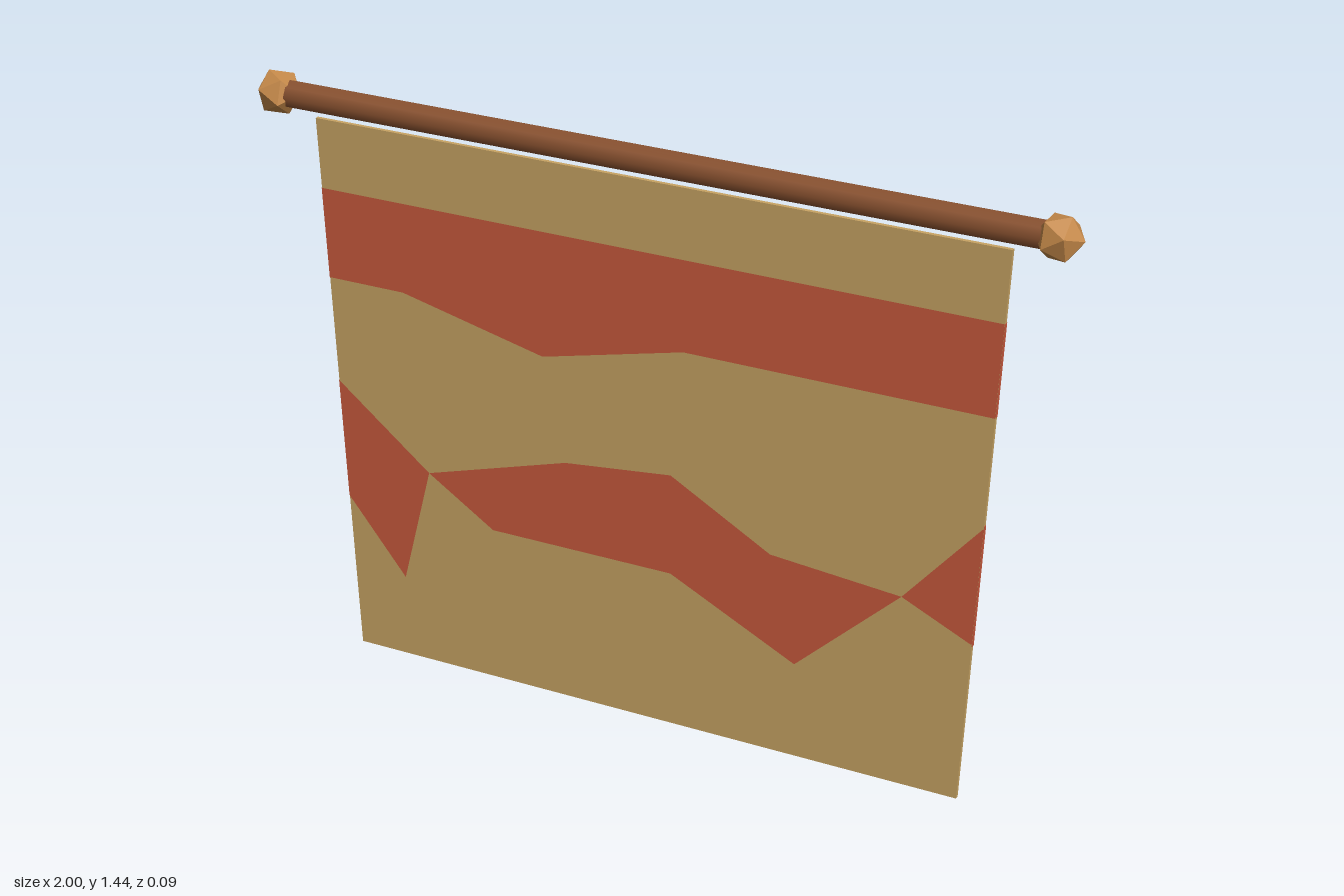
import * as THREE from 'three';

const clothMat = new THREE.MeshStandardMaterial({ color: 0xc8a464 });
clothMat.name = 'tan cloth';
const paintMat = new THREE.MeshStandardMaterial({ color: 0xca5a3e });
paintMat.name = 'red dye';
const rodMat = new THREE.MeshStandardMaterial({ color: 0x8a5230 });
rodMat.name = 'brown wood';
const knobMat = new THREE.MeshStandardMaterial({ color: 0xc68a4a });
knobMat.name = 'light wood';

const TOP = 1.343, HALF = 0.005, ROD_Y = 1.388;
const edgeX = (y) => 0.78 + 0.066 * (y / TOP); // cloth widens toward the rod

const shapeOf = (pts) => new THREE.Shape(pts.map(([x, y]) => new THREE.Vector2(x, y)));

function add(parent, name, geometry, material) {
  const mesh = new THREE.Mesh(geometry, material);
  mesh.name = name;
  parent.add(mesh);
  return mesh;
}

// Dyed areas as seen when facing each side of the cloth
const E = edgeX;
const frontAreas = [
  [[-E(1.175), 1.175], [-E(0.955), 0.955], [-0.63, 0.955], [-0.265, 0.87], [0.09, 0.955], [E(0.955), 0.955], [E(1.175), 1.175]],
  [[-E(0.695), 0.695], [-E(0.395), 0.395], [-0.65, 0.21], [-0.575, 0.505]],
  [[-0.575, 0.505], [-0.405, 0.395], [0.06, 0.395], [0.375, 0.24], [0.63, 0.478], [0.31, 0.505], [0.06, 0.645], [-0.21, 0.615]],
  [[0.63, 0.478], [E(0.4), 0.4], [E(0.69), 0.69]],
];
const backAreas = [
  [[-E(1.175), 1.175], [-E(0.955), 0.955], [E(0.955), 0.955], [E(1.175), 1.175]],
  [[-E(0.69), 0.69], [-E(0.39), 0.39], [-0.652, 0.21], [-0.605, 0.455]],
  [[-0.605, 0.455], [-0.424, 0.205], [-0.21, 0.386], [0.137, 0.373], [0.371, 0.186], [0.389, 0.413], [0.617, 0.38],
    [E(0.39), 0.39], [E(0.695), 0.695], [0.605, 0.637], [0.284, 0.693], [-0.219, 0.7], [-0.406, 0.53]],
];

export function createModel() {
  const model = new THREE.Group();
  model.name = 'hangingBanner';

  // Cloth panel
  const panel = new THREE.ExtrudeGeometry(
    shapeOf([[-E(0), 0], [E(0), 0], [E(TOP), TOP], [-E(TOP), TOP]]),
    { depth: HALF * 2, bevelEnabled: false });
  panel.translate(0, 0, -HALF);
  add(model, 'cloth', panel, clothMat);

  // Dyed pattern on both faces
  for (const pts of frontAreas) {
    add(model, 'frontStripe', new THREE.ShapeGeometry(shapeOf(pts)), paintMat).position.z = HALF + 0.001;
  }
  for (const pts of backAreas) {
    const stripe = add(model, 'backStripe', new THREE.ShapeGeometry(shapeOf(pts)), paintMat);
    stripe.rotation.y = Math.PI;
    stripe.position.z = -HALF - 0.001;
  }

  // Dye carried round the side edges
  const lean = Math.atan2(E(TOP) - E(0), TOP);
  for (const side of [-1, 1]) {
    for (const [low, high] of [[0.955, 1.175], [0.395, 0.695]]) {
      const mid = (low + high) / 2;
      const strip = add(model, 'edgeStripe', new THREE.BoxGeometry(0.001, high - low, HALF * 2), paintMat);
      strip.position.set(side * (E(mid) + 0.0005), mid, 0);
      strip.rotation.z = -side * lean;
    }
  }

  // Rod
  const rod = add(model, 'rod', new THREE.CylinderGeometry(0.033, 0.033, 1.89, 8), rodMat);
  rod.rotation.z = Math.PI / 2;
  rod.position.y = ROD_Y;

  // Faceted end knobs, one corner pointing outward
  const tip = Math.atan2((1 + Math.sqrt(5)) / 2, 1);
  for (const side of [-1, 1]) {
    const knobGeo = new THREE.IcosahedronGeometry(0.055, 0).rotateZ(-tip);
    const knob = add(model, 'knob', knobGeo, knobMat);
    knob.position.set(side * 0.945, ROD_Y, 0);
    if (side < 0) knob.rotation.y = Math.PI;
  }
  return model;
}
